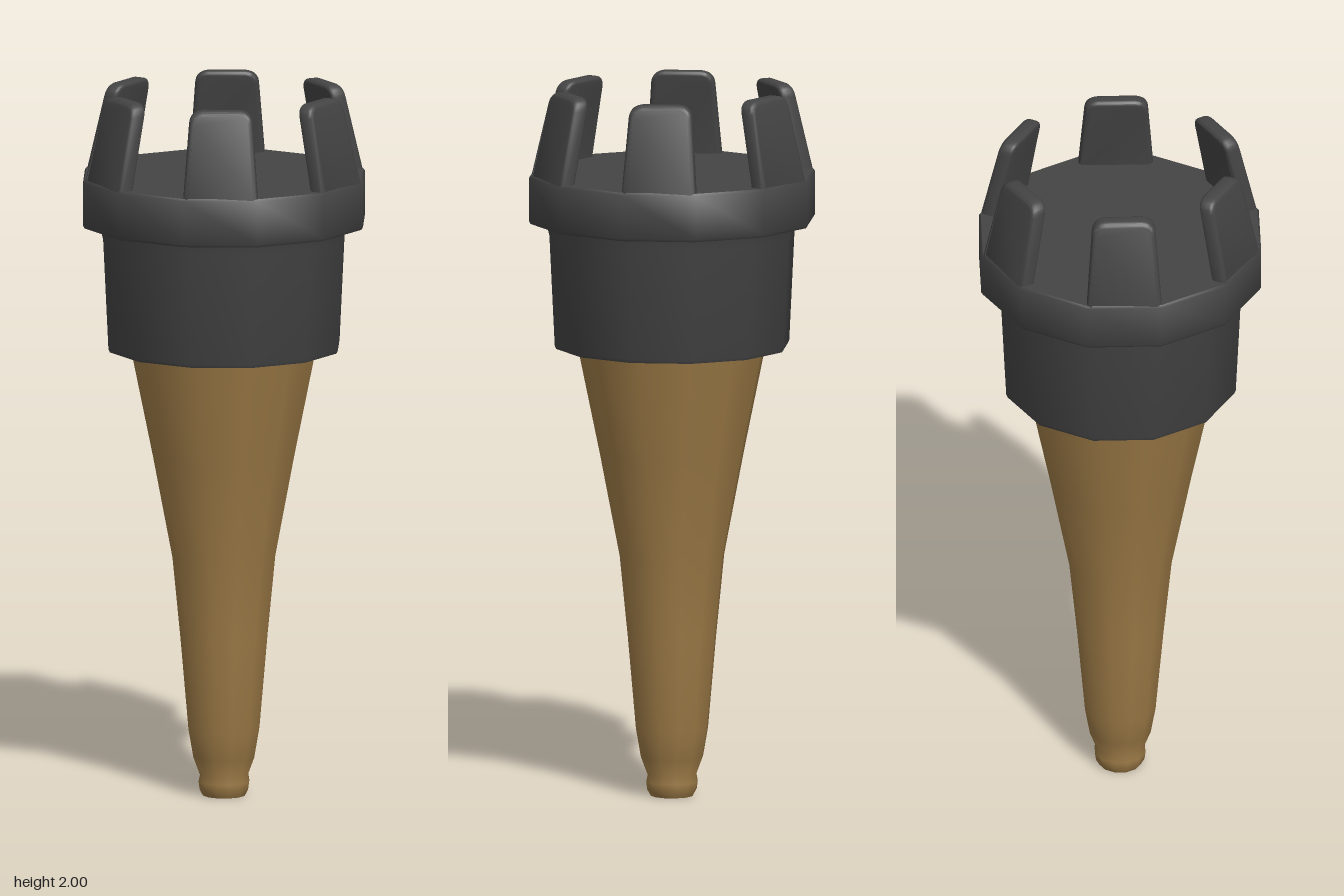
import * as THREE from 'three';
import { toCreasedNormals } from 'three/addons/utils/BufferGeometryUtils.js';

const SIDES = 12;

// Turned part from [radius, height] pairs
function turned(name, profile, material, crease) {
  const points = profile.map(([r, y]) => new THREE.Vector2(r, y));
  const geometry = toCreasedNormals(new THREE.LatheGeometry(points, SIDES), crease);
  const mesh = new THREE.Mesh(geometry, material);
  mesh.name = name;
  return mesh;
}

// Tapered tab with rounded top corners, leaning in towards the axis
function prongGeometry() {
  const base = 0.104, top = 0.087, height = 0.24, sink = 0.03, depth = 0.046, lean = 0.054;
  const shape = new THREE.Shape();
  shape.moveTo(-base, -sink);
  shape.lineTo(base, -sink);
  shape.lineTo(base, 0);
  shape.lineTo(top + 0.002, height - 0.035);
  shape.quadraticCurveTo(top, height - 0.004, top - 0.035, height);
  shape.lineTo(-top + 0.035, height);
  shape.quadraticCurveTo(-top, height - 0.004, -top - 0.002, height - 0.035);
  shape.lineTo(-base, 0);
  shape.closePath();
  const bevel = 0.012;
  const geometry = new THREE.ExtrudeGeometry(shape, {
    depth: depth - 2 * bevel, bevelThickness: bevel, bevelSize: bevel,
    bevelOffset: -bevel, bevelSegments: 3, curveSegments: 5,
  });
  geometry.translate(0, 0, bevel - depth);
  const p = geometry.attributes.position;
  for (let i = 0; i < p.count; i++) {
    const y = p.getY(i);
    p.setZ(i, p.getZ(i) - lean * Math.max(0, y) / height);
  }
  return toCreasedNormals(geometry, 0.8);
}

export function createModel() {
  const model = new THREE.Group();
  model.name = 'taperedHandleWithCrown';
  const wood = new THREE.MeshStandardMaterial({ color: 0x9c7a46 });
  const dark = new THREE.MeshStandardMaterial({ color: 0x444444 });

  // Tapered shaft with a small rounded foot
  model.add(turned('shaft', [
    [0, 0.014], [0.045, 0.004], [0.06, 0], [0.07, 0.018], [0.073, 0.04], [0.069, 0.06],
    [0.088, 0.11], [0.102, 0.19], [0.125, 0.45], [0.148, 0.68], [0.204, 0.97],
    [0.266, 1.27], [0.29, 1.4], [0.3, 1.62],
  ], wood, 1.2));

  // Hollow collar, its overhanging rim and the flat deck
  model.add(turned('collar', [
    [0.28, 1.6], [0.315, 1.6], [0.305, 1.28], [0.31, 1.27], [0.328, 1.27],
    [0.332, 1.28], [0.347, 1.59], [0.355, 1.625], [0.4, 1.625], [0.405, 1.633],
    [0.405, 1.755], [0.4, 1.762], [0, 1.762],
  ], dark, 0.85));

  // Six prongs on alternate sides of the rim
  const prong = prongGeometry();
  const prongs = new THREE.Group();
  prongs.name = 'prongs';
  for (let i = 0; i < 6; i++) {
    const angle = THREE.MathUtils.degToRad(15 + 60 * i);
    const mesh = new THREE.Mesh(prong, dark);
    mesh.name = 'prong' + (i + 1);
    mesh.rotation.y = Math.PI / 2 - angle;
    mesh.position.set(Math.cos(angle) * 0.389, 1.76, Math.sin(angle) * 0.389);
    prongs.add(mesh);
  }
  model.add(prongs);
  return model;
}
